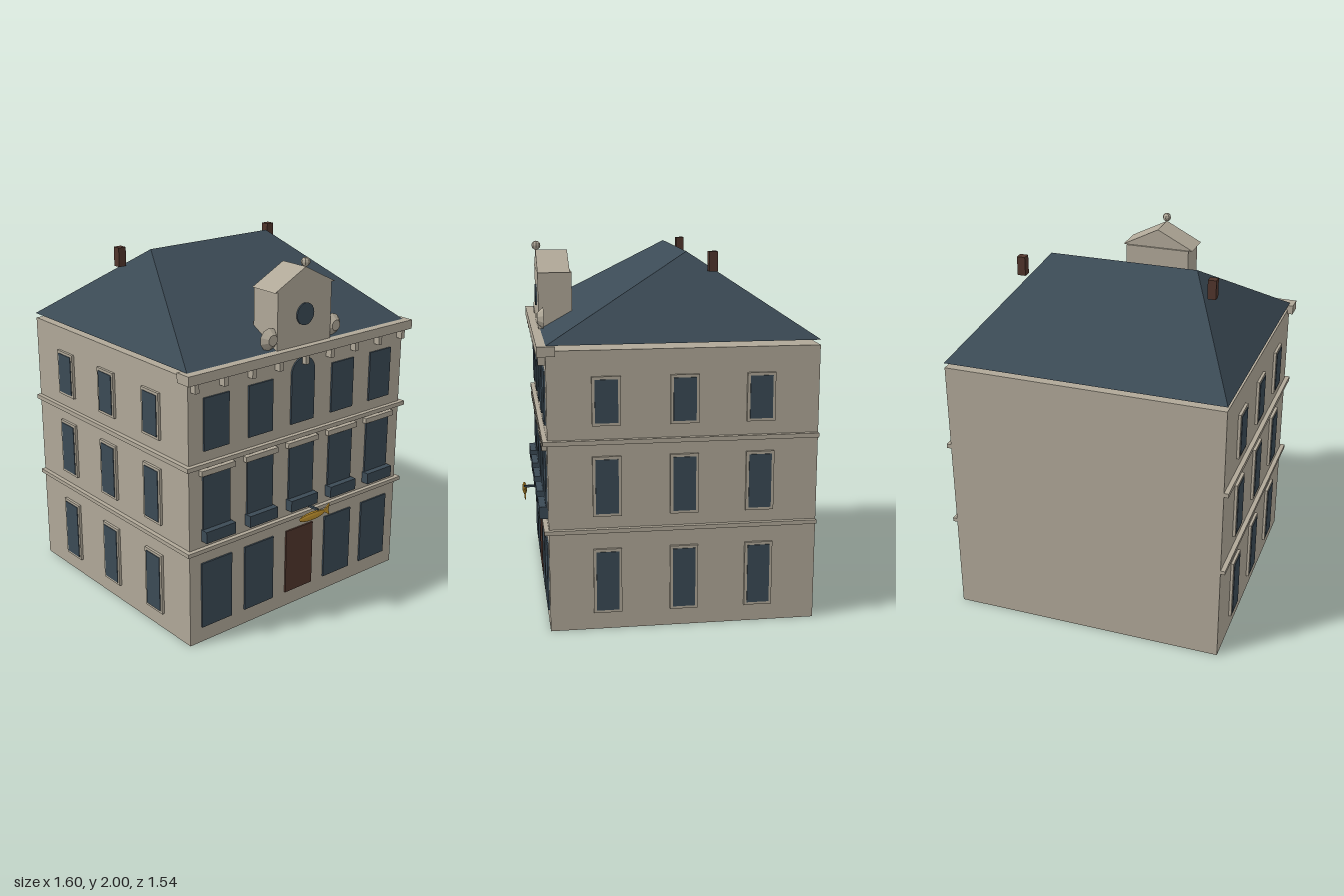
import * as THREE from 'three';

const material = (name, color) => {
  const m = new THREE.MeshStandardMaterial({ color, flatShading: true });
  m.name = name;
  return m;
};

export function createModel() {
  const model = new THREE.Group();
  model.name = 'townHouse';
  const stone = material('stone', 0xb0a898);
  const slate = material('slate', 0x3b4a55);
  const brown = material('brown', 0x50352c);
  const gold = material('gold', 0xc0922f);

  const add = (name, geometry, mat) => {
    const mesh = new THREE.Mesh(geometry, mat);
    mesh.name = name;
    model.add(mesh);
    return mesh;
  };
  // box given by its minimum and maximum corners
  const box = (name, mat, x0, x1, y0, y1, z0, z1) => {
    const g = new THREE.BoxGeometry(x1 - x0, y1 - y0, z1 - z0);
    g.translate((x0 + x1) / 2, (y0 + y1) / 2, (z0 + z1) / 2);
    return add(name, g, mat);
  };
  // box centred on x, attached to the front wall
  const front = 0.657;
  const onFront = (name, mat, x, w, y0, y1, depth) =>
    box(name, mat, x - w / 2, x + w / 2, y0, y1, front - 0.005, front + depth);

  // walls and the string courses that wrap three sides
  box('walls', stone, -0.77, 0.77, 0, 1.505, -0.77, front);
  for (const [y0, y1] of [[0.54, 0.562], [1.016, 1.04]])
    box('stringCourse', stone, -0.795, 0.795, y0, y1, -0.77, 0.682);

  // front cornice on small brackets
  box('cornice', stone, -0.8, 0.8, 1.48, 1.532, 0.61, 0.703);
  for (let i = -4; i <= 4; i++)
    onFront('corniceBracket', stone, i * 0.185, 0.025, 1.43, 1.482, 0.038);

  // front openings, five to a floor
  for (const x of [-0.593, -0.297, 0, 0.297, 0.593]) {
    if (x === 0) onFront('door', brown, 0, 0.2, 0.09, 0.47, 0.0095);
    else {
      onFront('groundWindow', slate, x, 0.205, 0.09, 0.47, 0.0095);
      onFront('upperWindow', slate, x, 0.166, 1.1, 1.385, 0.0095);
    }
    onFront('middleWindow', slate, x, 0.18, 0.6, 0.963, 0.0095);
    onFront('balcony', slate, x, 0.197, 0.6, 0.665, 0.045);
    onFront('lintel', stone, x, 0.223, 0.972, 1.002, 0.025);
  }

  // arched window in the middle of the top floor
  const arch = new THREE.Shape();
  arch.moveTo(-0.083, 1.1);
  arch.lineTo(0.083, 1.1);
  arch.lineTo(0.083, 1.382);
  arch.absarc(0, 1.382, 0.083, 0, Math.PI);
  arch.closePath();
  add('archedWindow', new THREE.ExtrudeGeometry(arch, { depth: 0.0095, bevelEnabled: false, curveSegments: 12 }), slate)
    .position.z = front;

  // framed windows on both side walls
  for (const side of [-1, 1])
    for (const z of [0.352, -0.055, -0.458])
      for (const [y0, y1] of [[0.095, 0.449], [0.629, 0.95], [1.113, 1.37]]) {
        const h = y1 - y0, y = (y0 + y1) / 2;
        add('sideFrame', new THREE.BoxGeometry(0.02, h, 0.15), stone).position.set(side * 0.775, y, z);
        add('sideWindow', new THREE.BoxGeometry(0.008, h - 0.03, 0.12), slate).position.set(side * 0.785, y, z);
      }

  // hipped roof: four eave corners and two ridge ends
  const roof = new THREE.BufferGeometry();
  roof.setAttribute('position', new THREE.Float32BufferAttribute([
    -0.772, 1.532, 0.655, 0.772, 1.532, 0.655, 0.772, 1.532, -0.772, -0.772, 1.532, -0.772,
    -0.415, 1.966, -0.12, 0.415, 1.966, -0.12], 3));
  roof.setIndex([0, 1, 5, 0, 5, 4, 1, 2, 5, 2, 3, 4, 2, 4, 5, 3, 0, 4, 0, 3, 2, 0, 2, 1]);
  const roofFlat = roof.toNonIndexed();
  roofFlat.computeVertexNormals();
  add('roof', roofFlat, slate);

  // chimneys
  for (const x of [-0.535, 0.535])
    box('chimney', brown, x - 0.023, x + 0.023, 1.87, 1.975, -0.263, -0.217);

  // gabled dormer with a round window and a finial
  box('dormer', stone, -0.19, 0.19, 1.53, 1.842, 0.477, 0.663);
  const gable = new THREE.Shape([
    new THREE.Vector2(-0.212, 1.842), new THREE.Vector2(0.212, 1.842), new THREE.Vector2(0, 1.95)]);
  add('gable', new THREE.ExtrudeGeometry(gable, { depth: 0.176, bevelEnabled: false }), stone).position.z = 0.488;
  const oculus = new THREE.CylinderGeometry(0.06, 0.06, 0.0095, 20).rotateX(Math.PI / 2);
  add('roundWindow', oculus, slate).position.set(0, 1.7, 0.667);
  add('finial', new THREE.SphereGeometry(0.025, 8, 6), stone).position.set(0, 1.975, 0.66);

  // tapered scroll bosses beside the dormer
  for (const x of [-0.225, 0.225]) {
    const boss = new THREE.CylinderGeometry(0.03, 0.061, 0.034, 10).rotateX(Math.PI / 2);
    add('scroll', boss, stone).position.set(x, 1.597, 0.655);
  }

  // hanging fish sign on an iron arm
  box('signArm', slate, 0.04, 0.052, 0.588, 0.6, front - 0.005, 0.762);
  const fish = add('fishBody', new THREE.SphereGeometry(1, 10, 8).rotateZ(Math.PI / 2), gold);
  fish.scale.set(0.095, 0.026, 0.013);
  fish.position.set(0.004, 0.57, 0.757);
  const tail = new THREE.Shape([
    new THREE.Vector2(0.085, 0.572), new THREE.Vector2(0.135, 0.54),
    new THREE.Vector2(0.126, 0.572), new THREE.Vector2(0.135, 0.607)]);
  add('fishTail', new THREE.ExtrudeGeometry(tail, { depth: 0.008, bevelEnabled: false }), gold).position.z = 0.753;

  return model;
}
